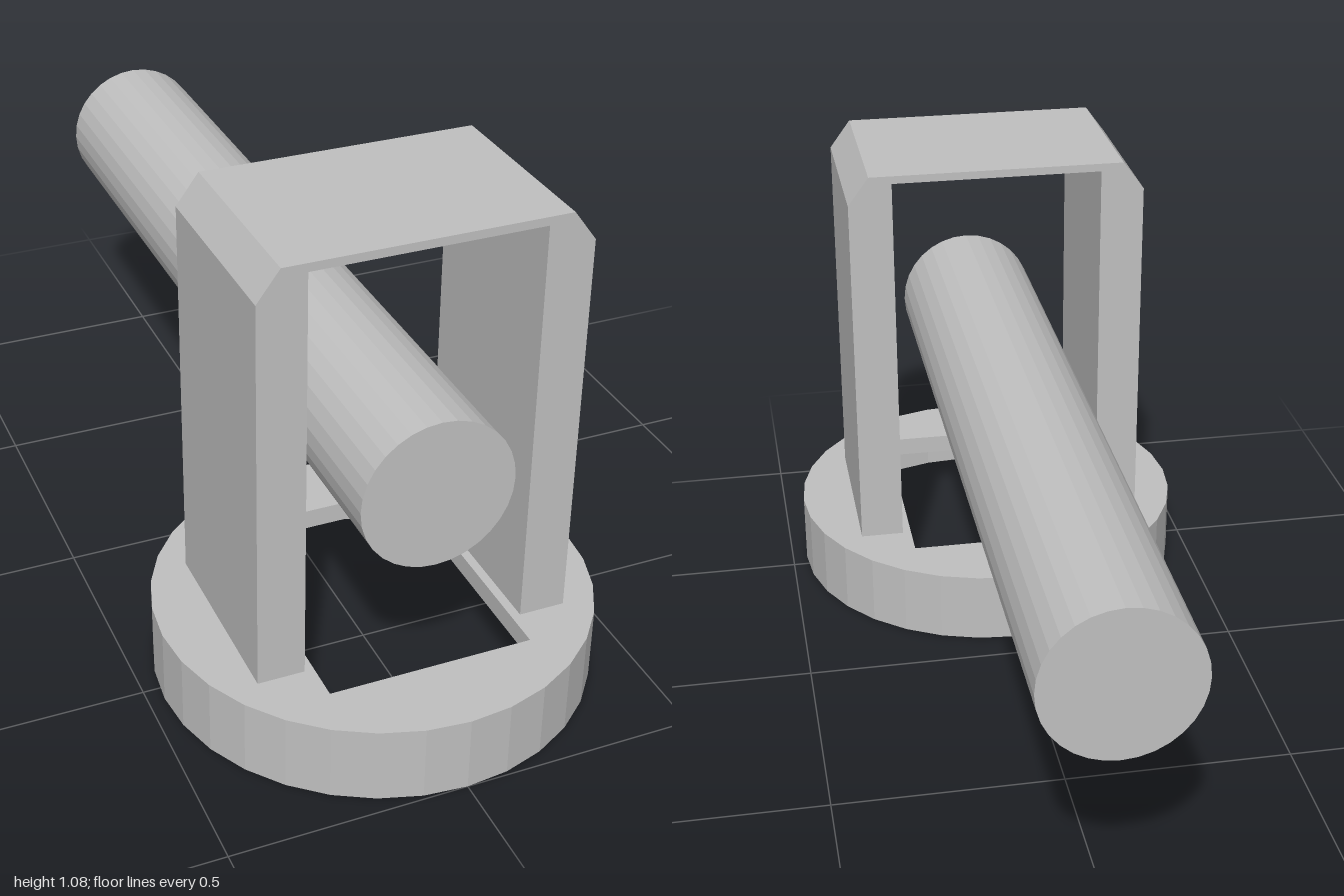
import * as THREE from 'three';

const SIDES = 32;
const BASE_R = 0.465, BASE_Z = 0.535, BASE_TOP = 0.165, PLATE = 0.045;

// Closed outline from [x, y] pairs
const outline = (pts, Type = THREE.Shape) => new Type(pts.map(([x, y]) => new THREE.Vector2(x, y)));

export function createModel() {
  const model = new THREE.Group();
  const grey = new THREE.MeshStandardMaterial({ color: 0xc0c0c0, flatShading: true, side: THREE.DoubleSide });
  grey.name = 'light grey';

  const add = (name, geometry, x, y, z) => {
    const mesh = new THREE.Mesh(geometry, grey);
    mesh.name = name;
    mesh.position.set(x, y, z);
    model.add(mesh);
  };

  // Round base plate with a rectangular opening
  const ring = Array.from({ length: SIDES }, (_, i) => {
    const a = (i / SIDES) * Math.PI * 2;
    return [BASE_R * Math.cos(a), BASE_R * Math.sin(a)];
  });
  const disc = outline(ring);
  disc.holes.push(outline([[-0.22, -0.29], [-0.22, 0.29], [0.22, 0.29], [0.22, -0.29]], THREE.Path));
  const plate = new THREE.ExtrudeGeometry(disc, { depth: PLATE, bevelEnabled: false });
  plate.rotateX(-Math.PI / 2);
  add('basePlate', plate, 0, BASE_TOP - PLATE, BASE_Z);

  // Thin skirt below the plate, open underneath
  const skirtH = BASE_TOP - PLATE;
  add('baseSkirt', new THREE.CylinderGeometry(BASE_R, BASE_R, skirtH, SIDES, 1, true), 0, skirtH / 2, BASE_Z);

  // Chamfered arch: two legs and a thin top
  const half = [[0.24, BASE_TOP], [0.34, BASE_TOP], [0.34, 1.015], [0.292, 1.08]];
  const mirrored = half.map(([x, y]) => [-x, y]).reverse();
  const arch = outline([...half, ...mirrored, [-0.24, 1.062], [0.24, 1.062]]);
  add('arch', new THREE.ExtrudeGeometry(arch, { depth: 0.42, bevelEnabled: false }), 0, 0, 0.325);

  // Long horizontal rod passing through the arch
  const rod = new THREE.CylinderGeometry(0.162, 0.162, 1.82, SIDES);
  rod.rotateX(Math.PI / 2);
  add('rod', rod, 0, 0.574, -0.09);

  return model;
}
